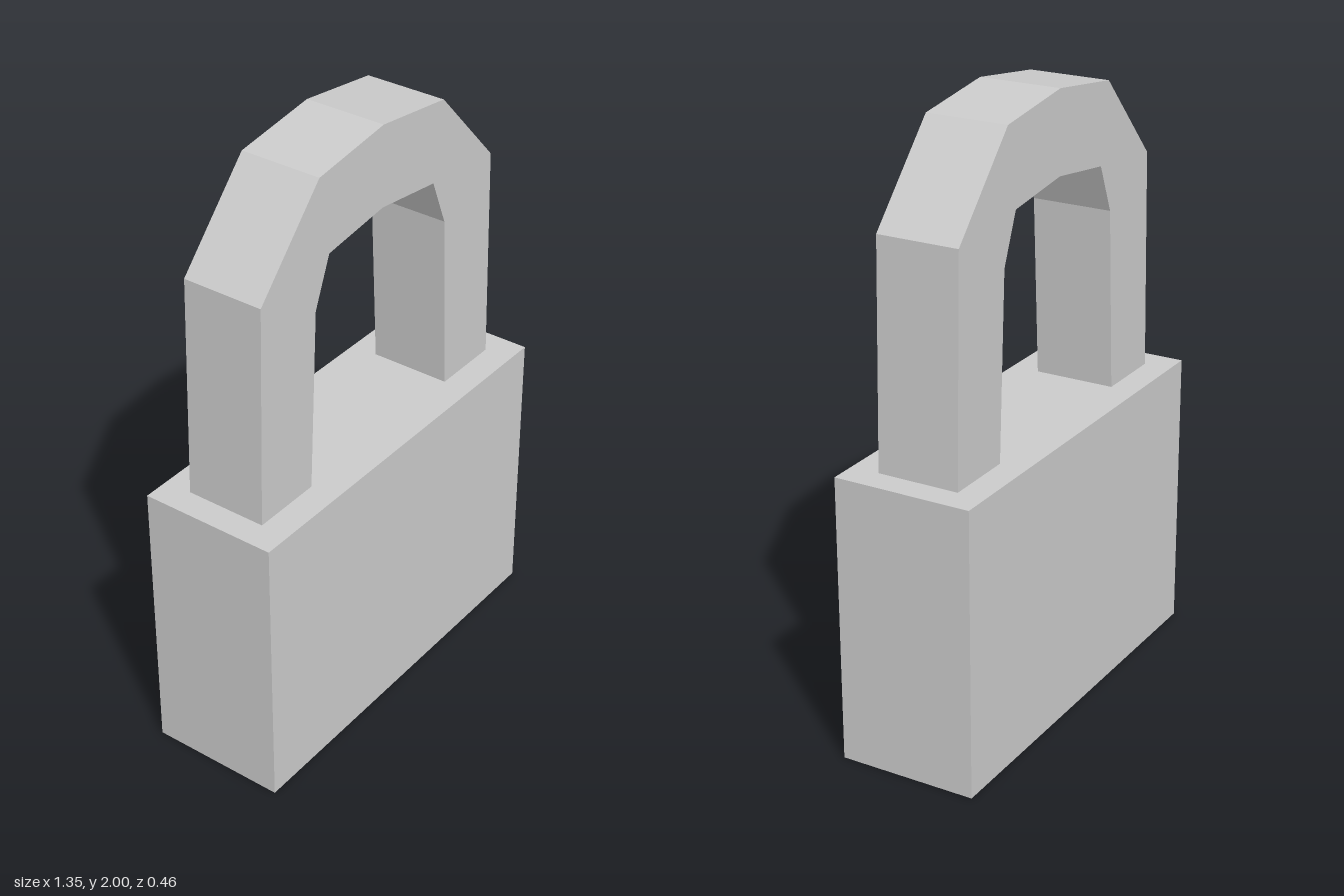
import * as THREE from 'three';

const BODY = { width: 1.354, height: 0.945, depth: 0.458 };
const SHACKLE_DEPTH = 0.272;

// Right half of the shackle outline, from foot to crown
const OUTER = [[0.588, 0.945], [0.568, 1.672], [0.3, 1.96]];
const INNER = [[0.351, 0.945], [0.322, 1.543], [0.257, 1.702]];
const OUTER_TOP = [0, 2];
const INNER_TOP = [0, 1.735];

// Completes a half outline into a full arch, running from +x to -x
function arch(half, top) {
  const mirrored = half.map(([x, y]) => [-x, y]).reverse();
  return [...half, top, ...mirrored];
}

export function createModel() {
  const group = new THREE.Group();
  group.name = 'padlock';
  const material = new THREE.MeshStandardMaterial({ color: 0xcccccc, flatShading: true });

  // Solid lock body
  const body = new THREE.Mesh(new THREE.BoxGeometry(BODY.width, BODY.height, BODY.depth), material);
  body.name = 'body';
  body.position.y = BODY.height / 2;
  group.add(body);

  // Faceted shackle, its feet standing on the body
  const outline = [...arch(OUTER, OUTER_TOP), ...arch(INNER, INNER_TOP).reverse()];
  const shape = new THREE.Shape(outline.map(([x, y]) => new THREE.Vector2(x, y)));
  const shackleGeometry = new THREE.ExtrudeGeometry(shape, { depth: SHACKLE_DEPTH, bevelEnabled: false });
  shackleGeometry.translate(0, 0, -SHACKLE_DEPTH / 2 - 0.002);
  const shackle = new THREE.Mesh(shackleGeometry, material);
  shackle.name = 'shackle';
  group.add(shackle);

  return group;
}
